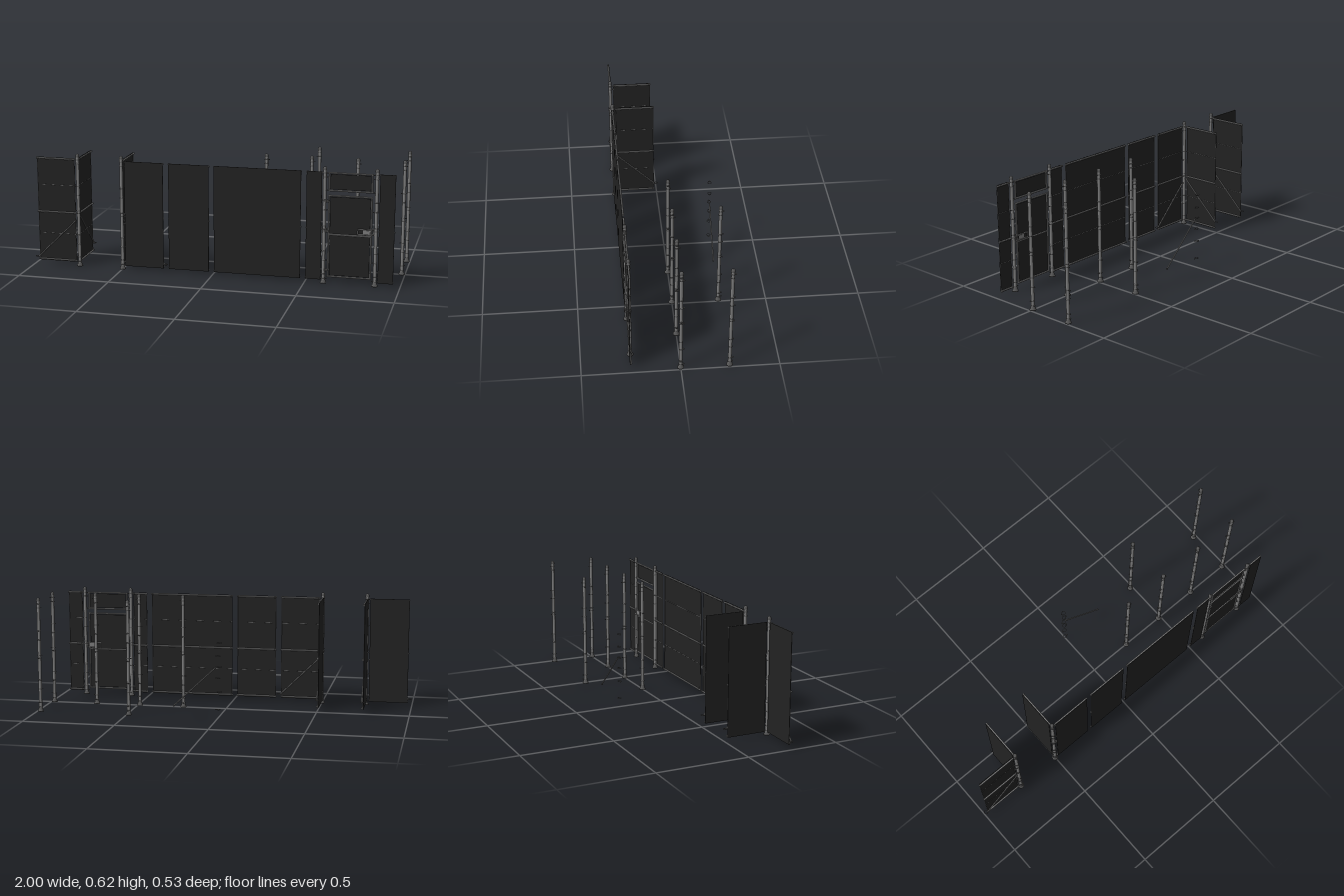
import * as THREE from 'three';

const mat = (name, color) => {
  const m = new THREE.MeshStandardMaterial({ color });
  m.name = name;
  return m;
};

export function createModel() {
  const steel = mat('galvanised steel', 0x7d7d7d);
  const fitting = mat('dark fittings', 0x565656);
  const fabric = mat('black fence fabric', 0x222222);
  const root = new THREE.Group();
  root.name = 'fenceKit';
  const Z = 0.247; // front fence line
  const V = (x, y, z) => new THREE.Vector3(x, y, z);

  function group(parent, name, x, y, z, ry = 0) {
    const g = new THREE.Group();
    g.name = name;
    g.position.set(x, y, z);
    g.rotation.y = ry;
    parent.add(g);
    return g;
  }
  function add(parent, name, geo, m, x = 0, y = 0, z = 0) {
    const mesh = new THREE.Mesh(geo, m);
    mesh.name = name;
    mesh.position.set(x, y, z);
    parent.add(mesh);
    return mesh;
  }
  const box = (p, name, w, h, d, m, x, y, z) => add(p, name, new THREE.BoxGeometry(w, h, d), m, x, y, z);

  // Round bar between two points
  function pipe(parent, name, a, b, r, m = steel, sides = 12) {
    const dir = b.clone().sub(a);
    const mesh = add(parent, name, new THREE.CylinderGeometry(r, r, dir.length(), sides), m);
    mesh.position.copy(a).lerp(b, 0.5);
    mesh.quaternion.setFromUnitVectors(V(0, 1, 0), dir.normalize());
    return mesh;
  }

  // Open band with a bolted tab pointing along local +x
  function bandClip(parent, x, y, z, ry = 0) {
    const g = group(parent, 'bandClip', x, y, z, ry);
    const ring = add(g, 'band', new THREE.TorusGeometry(0.0098, 0.0016, 6, 16, Math.PI * 1.8), fitting);
    ring.rotation.set(Math.PI / 2, 0, Math.PI * 0.1);
    box(g, 'tab', 0.008, 0.005, 0.004, fitting, 0.0135, 0, 0);
    pipe(g, 'bolt', V(0.014, 0, -0.006), V(0.014, 0, 0.006), 0.0015, fitting, 6);
  }

  // Post with flared foot, domed cap and bands
  const footProfile = [[0, 0], [0.017, 0], [0.017, 0.004], [0.013, 0.008], [0.0105, 0.019], [0.009, 0.02]];
  const capProfile = [[0.0102, 0.606], [0.0102, 0.614], [0.0085, 0.6195], [0.005, 0.623], [0, 0.6245]];
  const lathe = (pts) => new THREE.LatheGeometry(pts.map(([r, y]) => new THREE.Vector2(r, y)), 18);
  const bandHeights = [0.025, 0.05, 0.125, 0.175, 0.295, 0.31, 0.395, 0.445, 0.57, 0.592];
  function post(x, z, name, tabs) {
    const g = group(root, name, x, 0, z);
    add(g, 'shaft', new THREE.CylinderGeometry(0.009, 0.009, 0.6, 18), steel, 0, 0.31, 0);
    add(g, 'foot', lathe(footProfile), fitting);
    add(g, 'cap', lathe(capProfile), fitting);
    bandHeights.forEach((y, i) => {
      add(g, 'band', new THREE.CylinderGeometry(0.0103, 0.0103, 0.0045, 18), fitting, 0, y, 0);
      const ry = tabs[i % tabs.length];
      const t = group(g, 'bandTab', 0, y, 0, ry);
      box(t, 'tab', 0.008, 0.004, 0.004, fitting, 0.0135, 0, 0);
      pipe(t, 'bolt', V(0.0145, 0, -0.006), V(0.0145, 0, 0.006), 0.0014, fitting, 6);
    });
  }
  const H = Math.PI / 2;
  post(-0.745, Z, 'cornerPost', [H, Math.PI]);
  post(-0.5, Z, 'cornerPost', [0, H]);
  post(0.598, Z, 'gatePost', [0, Math.PI]);
  post(0.868, Z, 'gatePost', [Math.PI, 0]);
  for (const x of [0.24, 0.487, 0.735, 0.982]) post(x, 0, 'linePost', [H, 0, H, Math.PI]);
  for (const x of [0.487, 0.982]) post(x, -Z, 'linePost', [H, H, Math.PI]);

  // Diagonal brace, high at local x = x0
  function brace(g, x0, x1, yHigh, yLow, z) {
    pipe(g, 'diagonalBrace', V(x0, yHigh, z), V(x1, yLow, z), 0.0036);
    box(g, 'braceEnd', 0.008, 0.007, 0.007, fitting, x0, yHigh, z);
    box(g, 'braceEnd', 0.008, 0.007, 0.007, fitting, x1, yLow, z);
  }

  // Panel running along local +x: three rails, thin wires and a fabric sheet on one side
  function panel(name, x, z, ry, len, side, low) {
    const g = group(root, name, x, 0, z, ry);
    box(g, 'fabricSheet', len, 0.578, 0.002, fabric, len / 2, 0.308, side * 0.0055);
    for (const y of [0.027, 0.295, 0.592]) {
      pipe(g, 'rail', V(-0.003, y, 0), V(len + 0.003, y, 0), 0.0043);
      for (const e of [0.006, len - 0.006])
        pipe(g, 'railCollar', V(e - 0.005, y, 0), V(e + 0.005, y, 0), 0.0052, fitting);
    }
    for (const y of [0.175, 0.445])
      pipe(g, 'wire', V(0, y, -side * 0.0005 + side * 0.0045), V(len, y, side * 0.004), 0.0007, steel, 5);
    for (const e of [0.0007, len - 0.0007])
      pipe(g, 'edgeBar', V(e, 0.02, side * 0.004), V(e, 0.597, side * 0.004), 0.0011, steel, 6);
    if (low) {
      brace(g, -0.002, len + 0.004, low + 0.215, low, -side * 0.003);
      bandClip(g, len + 0.012, low, 0, Math.PI);
    }
  }
  panel('cornerPanel', -0.763, Z, Math.PI, 0.214, 1, 0.04);
  panel('sidePanel', -0.745, 0.23, H, 0.214, -1, 0.065);
  panel('cornerPanel', -0.482, Z, 0, 0.214, 1, 0.04);
  panel('sidePanel', -0.5, 0.23, H, 0.214, -1, 0.065);
  panel('narrowPanel', -0.238, Z, 0, 0.22, 1);
  panel('widePanel', 0.01, Z, 0, 0.465, 1);
  panel('shortPanel', 0.504, Z, 0, 0.08, 1);
  panel('shortPanel', 0.884, Z, 0, 0.08, 1);

  // Rectangular pipe frame with fabric
  function frame(name, x0, x1, y0, y1) {
    const g = group(root, name, 0, 0, Z);
    const r = 0.0045;
    for (const y of [y0, y1]) pipe(g, 'frameRail', V(x0 - r, y, 0), V(x1 + r, y, 0), r);
    for (const x of [x0, x1]) pipe(g, 'frameStile', V(x, y0, 0), V(x, y1, 0), r);
    box(g, 'fabricSheet', x1 - x0 - 0.012, y1 - y0 - 0.012, 0.002, fabric, (x0 + x1) / 2, (y0 + y1) / 2, 0);
    return g;
  }
  frame('transom', 0.622, 0.844, 0.499, 0.592);
  for (const y of [0.5, 0.59]) {
    pipe(root, 'transomMount', V(0.6, y, Z), V(0.622, y, Z), 0.0035, fitting);
    pipe(root, 'transomMount', V(0.844, y, Z), V(0.868, y, Z), 0.0035, fitting);
  }
  const gate = frame('gate', 0.622, 0.844, 0.038, 0.472);
  pipe(gate, 'middleRail', V(0.622, 0.265, 0.002), V(0.844, 0.265, 0.002), 0.0045);

  // Gate hinges
  for (const y of [0.075, 0.285, 0.445]) {
    box(gate, 'hingePlate', 0.026, 0.012, 0.004, fitting, 0.611, y, 0.011);
    pipe(gate, 'hingePin', V(0.611, y - 0.008, 0.01), V(0.611, y + 0.008, 0.01), 0.0045, fitting);
  }
  // Gate latch: bent bar loop with a lock plate
  for (const s of [-1, 1]) {
    const z = s * 0.008;
    pipe(gate, 'latchBar', V(0.775, 0.302, z), V(0.858, 0.302, z), 0.0035);
    pipe(gate, 'latchBar', V(0.775, 0.275, z), V(0.858, 0.275, z), 0.0035);
    pipe(gate, 'latchBar', V(0.776, 0.275, z), V(0.776, 0.302, z), 0.0035);
    box(gate, 'lockPlate', 0.04, 0.022, 0.003, steel, 0.82, 0.288, z);
    box(gate, 'latchCatch', 0.012, 0.014, 0.006, fitting, 0.858, 0.288, z);
  }

  // Loose brace and spare fittings behind the fence
  const spares = group(root, 'spareParts', 0, 0, -0.25);
  brace(spares, 0.008, 0.238, 0.278, 0.062, 0);
  [0.05, 0.147, 0.22, 0.28, 0.34, 0.41].forEach((y, i) => bandClip(spares, -0.006, y, 0, i % 2 ? Math.PI : 0));
  return root;
}
